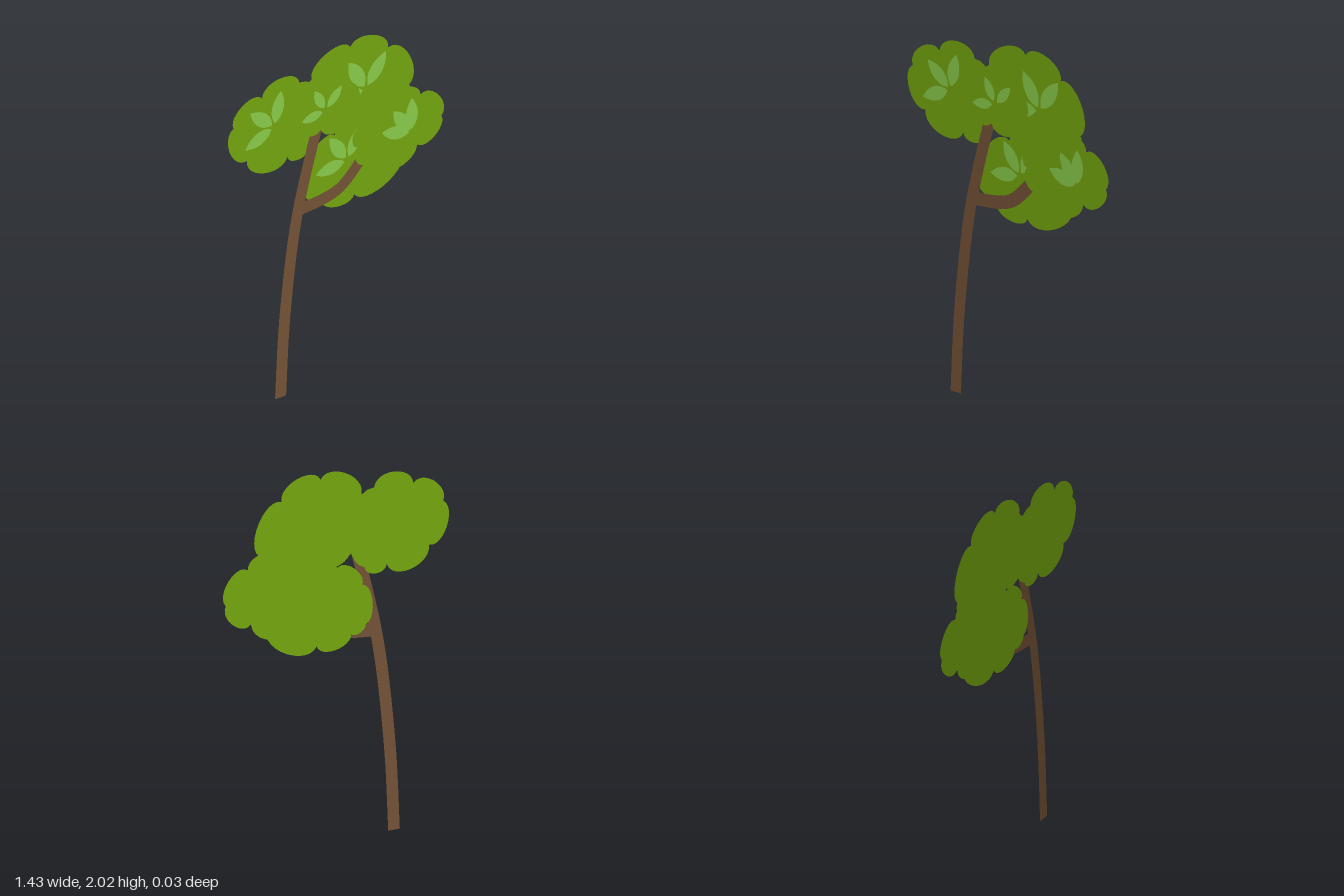
import * as THREE from 'three';

// Coordinates are in hundredths of a unit until the whole tree is scaled at its shapes
const point = ([x, y]) => new THREE.Vector2(x, y).divideScalar(100);

// Outward normal of a counter-clockwise edge, as long as the edge
const normalOf = (v) => new THREE.Vector2(v.y, -v.x);

// Adds a rounded lobe from a to b; skew makes it fuller near a
function addLobe(shape, a, b, bulge, start, end) {
  const chord = b.clone().sub(a);
  const out = normalOf(chord).multiplyScalar(bulge);
  const c1 = a.clone().addScaledVector(chord, start).add(out);
  const c2 = a.clone().addScaledVector(chord, end).add(out);
  shape.bezierCurveTo(c1.x, c1.y, c2.x, c2.y, b.x, b.y);
}

// Clump outline: one lobe between each pair of notches
function clumpShape(notches, bulge) {
  const points = notches.map(point);
  const shape = new THREE.Shape().moveTo(points[0].x, points[0].y);
  points.forEach((a, i) => addLobe(shape, a, points[(i + 1) % points.length], bulge, 0.05, 0.95));
  return shape;
}

// Pointed leaf growing from a spray's centre
function leafShape(centre, length, degrees) {
  const angle = THREE.MathUtils.degToRad(degrees);
  const along = point([Math.cos(angle), Math.sin(angle)]);
  const base = point(centre).addScaledVector(along, 2);
  const tip = point(centre).addScaledVector(along, length);
  const shape = new THREE.Shape().moveTo(base.x, base.y);
  addLobe(shape, base, tip, 0.28, 0.25, 0.65);
  addLobe(shape, tip, base, 0.28, 0.35, 0.75);
  return shape;
}

// Flat limb of even width along a centre line, cut level at the ground
function limbShape(path) {
  const curve = new THREE.SplineCurve(path.map(point));
  const steps = 24;
  const right = [];
  const left = [];
  for (let i = 0; i <= steps; i++) {
    const centre = curve.getPoint(i / steps);
    const offset = normalOf(curve.getTangent(i / steps)).multiplyScalar(0.037);
    right.push(centre.clone().add(offset));
    left.unshift(centre.clone().sub(offset));
  }
  const outline = [...right, ...left];
  outline.forEach((p) => { p.y = Math.max(0, p.y); });
  return new THREE.Shape(outline);
}

// Foliage clumps from back to front; spray is the leaf fan's centre, leaf length, middle angle and spread
const clumps = [
  {
    name: 'topFoliage', bulge: 0.36,
    notches: [[36, 189], [11, 198], [-15, 187], [-8, 157], [18, 154], [43, 151], [50, 161]],
    spray: { centre: [21, 169], length: 23, angle: 120, spread: 66 },
  },
  {
    name: 'lowerFoliage', bulge: 0.34,
    notches: [[-16, 137], [-18, 115], [-9, 111], [13, 107], [45, 120], [43, 132], [33, 150], [0, 148]],
    spray: { centre: [8, 130], length: 21, angle: 124, spread: 62 },
  },
  {
    name: 'rightFoliage', bulge: 0.4,
    notches: [[-24, 189], [-49, 188], [-68, 176], [-59, 153], [-32, 146], [-18, 146]],
    spray: { centre: [-41, 168], length: 21, angle: 140, spread: 62 },
  },
  {
    name: 'leftFoliage', bulge: 0.4,
    notches: [[14, 136], [19, 124], [54, 124], [70, 136], [56, 154], [35, 157], [14, 147]],
    spray: { centre: [50, 133], length: 21, angle: 126, spread: 36 },
  },
  {
    name: 'smallFoliage', bulge: 0.46,
    notches: [[-29, 173], [-24, 163], [-11, 156], [13, 163], [2, 179], [-19, 181]],
    spray: { centre: [-8, 167], length: 16, angle: 117, spread: 70 },
  },
];

export function createModel() {
  const material = (name, color) => {
    const m = new THREE.MeshStandardMaterial({ color, side: THREE.DoubleSide });
    m.name = name;
    return m;
  };
  const bark = material('bark', 0x745236);
  const foliage = material('foliage green', 0x74a60e);
  const leafGreen = material('leaf green', 0x8acb4a);

  const model = new THREE.Group();
  model.name = 'tree';
  const add = (parent, name, shape, mat, z) => {
    const mesh = new THREE.Mesh(new THREE.ShapeGeometry(shape), mat);
    mesh.name = name;
    mesh.position.z = z;
    parent.add(mesh);
  };

  // Bent trunk and its side branch
  add(model, 'trunk', limbShape([[-37, 0], [-34, 50], [-26, 108], [-10, 167]]), bark, 0);
  add(model, 'branch', limbShape([[-25, 111], [2, 115], [22, 134]]), bark, 0);

  // Layered foliage, each clump painted with a fan of three leaves
  clumps.forEach(({ name, bulge, notches, spray }, layer) => {
    const group = new THREE.Group();
    group.name = name;
    group.position.z = layer * 0.007 - 0.019;
    add(group, 'clump', clumpShape(notches, bulge), foliage, 0);
    for (const side of [-1, 0, 1]) {
      const leaf = leafShape(spray.centre, spray.length, spray.angle + side * spray.spread);
      add(group, 'leaf', leaf, leafGreen, 0.004);
    }
    model.add(group);
  });
  return model;
}
